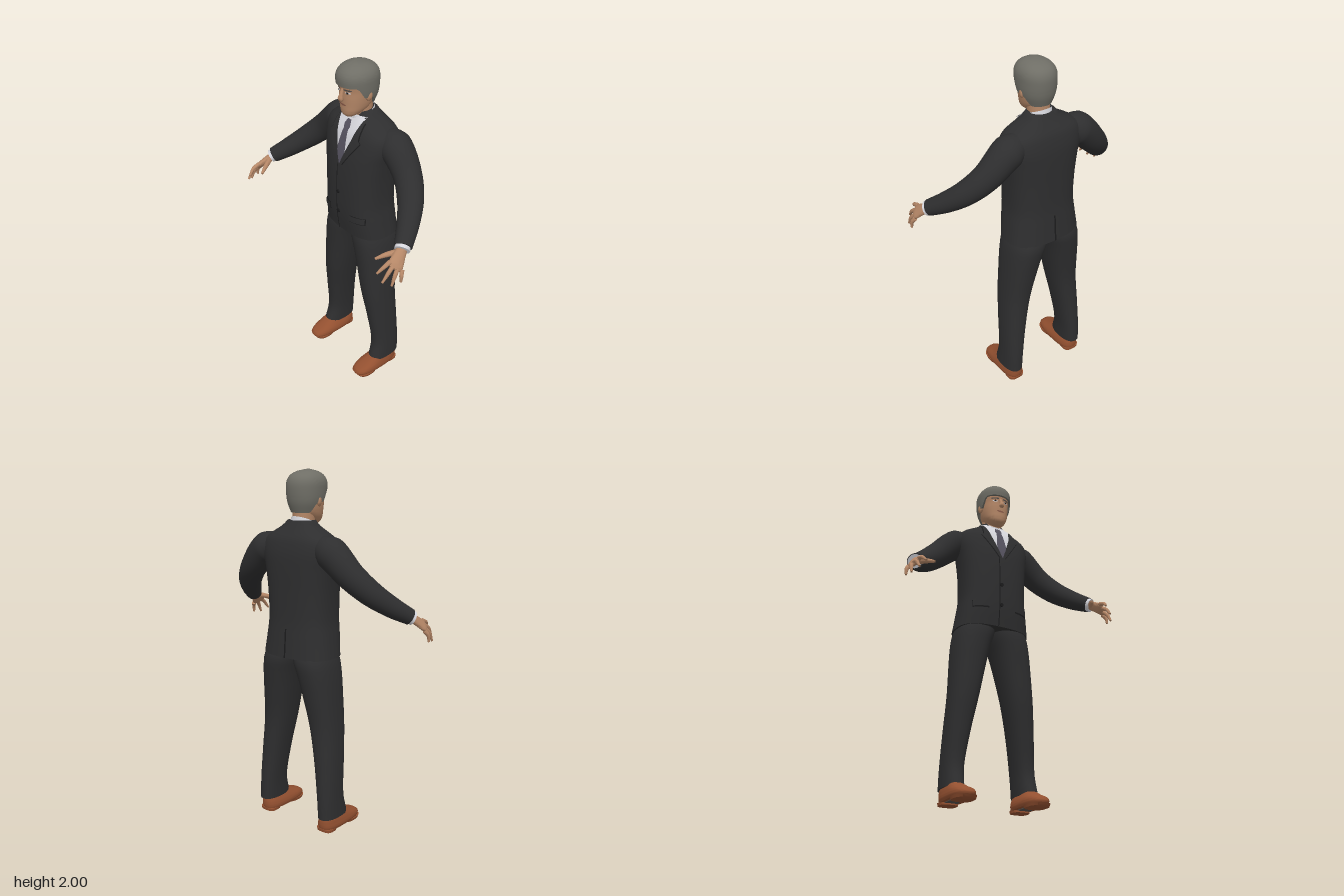
import * as THREE from 'three';
import { toCreasedNormals } from 'three/addons/utils/BufferGeometryUtils.js';

const V = (x, y, z) => new THREE.Vector3(x, y, z);
const { lerp, smoothstep } = THREE.MathUtils;

const mat = (name, color) => Object.assign(new THREE.MeshStandardMaterial({ color }), { name });

// Surface from a function of (i, j) on a grid; faces look along v x u
function grid(fn, nu, nv) {
  const pos = [], idx = [];
  for (let j = 0; j <= nv; j++) for (let i = 0; i <= nu; i++) pos.push(...fn(i, j).toArray());
  for (let j = 0; j < nv; j++) for (let i = 0; i < nu; i++) {
    const a = j * (nu + 1) + i, c = a + nu + 1;
    idx.push(a, c, a + 1, a + 1, c, c + 1);
  }
  const g = new THREE.BufferGeometry();
  g.setAttribute('position', new THREE.Float32BufferAttribute(pos, 3));
  g.setIndex(idx);
  return g;
}

// Tube of rings closed by a centre point at each end
const closed = (point, centre, nu, nv) => grid((i, j) => {
  const v = THREE.MathUtils.clamp((j - 1) / nv, 0, 1);
  return j === 0 || j === nv + 2 ? centre(v) : point((i % nu) / nu * Math.PI * 2, v);
}, nu, nv + 2);

// Smooth interpolation of rows [y, x0, x1, z0, z1]
function sample(rows, y) {
  let k = 0;
  while (k < rows.length - 2 && y > rows[k + 1][0]) k++;
  const a = rows[k], b = rows[k + 1], h = b[0] - a[0], t = THREE.MathUtils.clamp((y - a[0]) / h, 0, 1);
  const slope = (i, c) => {
    const p = rows[Math.max(i - 1, 0)], n = rows[Math.min(i + 1, rows.length - 1)];
    return (n[c] - p[c]) / (n[0] - p[0]);
  };
  const t2 = t * t, t3 = t2 * t;
  const [x0, x1, z0, z1] = [1, 2, 3, 4].map(c => a[c] * (2 * t3 - 3 * t2 + 1) + b[c] * (3 * t2 - 2 * t3)
    + h * (slope(k, c) * (t3 - 2 * t2 + t) + slope(k + 1, c) * (t3 - t2)));
  return { cx: (x0 + x1) / 2, w: (x1 - x0) / 2, cz: (z0 + z1) / 2, d: (z1 - z0) / 2 };
}

const pw = (n, e) => Math.sign(n) * Math.abs(n) ** e;
const ringPoint = (rows, y, a, e, k = 1) => {
  const s = sample(rows, y);
  return V(s.cx + k * s.w * pw(Math.cos(a), e), y, s.cz + k * s.d * pw(Math.sin(a), e));
};

// Body built from horizontal cross-sections
function loft(rows, e = 0.85, nu = 40, nv = 30) {
  const yAt = v => lerp(rows[0][0], rows[rows.length - 1][0], v);
  return closed((a, v) => ringPoint(rows, yAt(v), a, e),
    v => { const s = sample(rows, yAt(v)); return V(s.cx, yAt(v), s.cz); }, nu, nv);
}

// Thin panel lying on the front (dir 1) or back (dir -1) of a loft
function panel(rows, e, lo, hi, y0, y1, off, dir = 1, nx = 8, ny = 12) {
  return grid((i, j) => {
    const y = lerp(y0, y1, j / ny), s = sample(rows, y);
    const l = lo(y), r = hi(y), x = dir > 0 ? lerp(r, l, i / nx) : lerp(l, r, i / nx);
    const q = Math.max(0, 1 - Math.min(1, Math.abs(x / s.w)) ** (2 / e)) ** (e / 2);
    return V(x, y, s.cz + dir * (s.d * q + off));
  }, nx, ny);
}

// Limb along a curve: points [x, y, z, radius along side, other radius]
function limb(pts, side, nu = 16, nv = 20) {
  const curve = new THREE.CatmullRomCurve3(pts.map(p => V(p[0], p[1], p[2])));
  return closed((a, v) => {
    const f = v * (pts.length - 1), k = Math.min(Math.floor(f), pts.length - 2), t = f - k;
    const r = c => lerp(pts[k][c], pts[k + 1][c], t);
    const d = curve.getTangent(v), s = side.clone().addScaledVector(d, -side.dot(d)).normalize();
    const n = s.clone().cross(d);
    return curve.getPoint(v).addScaledVector(s, Math.cos(a) * r(3)).addScaledVector(n, Math.sin(a) * r(4));
  }, v => curve.getPoint(v), nu, nv);
}

export function createModel() {
  const root = new THREE.Group();
  root.name = 'man in suit';
  const suit = mat('suit', 0x2e2e2f), dark = mat('dark trim', 0x1b1b1c), white = mat('shirt', 0xd6d6dc);
  const purple = mat('tie', 0x55525f), skin = mat('skin', 0xb58767), grey = mat('hair', 0x6f6e66);
  const brown = mat('shoe leather', 0x935030), sole = mat('sole', 0x55504c), lip = mat('lips', 0x8c5c4a);

  const add = (name, geo, material) => {
    const m = new THREE.Mesh(toCreasedNormals(geo, 1.0), material);
    m.name = name;
    root.add(m);
  };
  const pair = (name, geo, material) => {
    add(name + 'Left', geo, material);
    const g = geo.clone().scale(-1, 1, 1);
    g.index.array.reverse();
    add(name + 'Right', g, material);
  };
  const sym = r => [r[0], -r[1], r[1], r[2], r[3]];

  // Jacket body
  const T = [[1.0, 0.222, -0.27, 0.03], [1.1, 0.208, -0.262, 0.043], [1.2, 0.196, -0.255, 0.048],
    [1.35, 0.2, -0.255, 0.046], [1.48, 0.215, -0.257, 0.035], [1.56, 0.23, -0.255, 0.018],
    [1.62, 0.225, -0.245, 0.0], [1.65, 0.2, -0.235, -0.015], [1.68, 0.15, -0.215, -0.033],
    [1.71, 0.1, -0.195, -0.05], [1.735, 0.078, -0.18, -0.06]].map(sym);
  const te = 0.75;
  add('jacket', loft(T, te, 56, 44), suit);

  // Shirt front, tie, lapels and collar points
  const vee = y => y < 1.6 ? lerp(0, 0.06, (y - 1.44) / 0.16) : lerp(0.06, 0.086, (y - 1.6) / 0.115);
  add('shirtFront', panel(T, te, y => -vee(y), vee, 1.44, 1.715, 0.004, 1, 12, 16), white);
  const tieW = y => y > 1.645 ? 0.024 : Math.min(lerp(0.034, 0.017, (y - 1.5) / 0.145), vee(y));
  add('tie', panel(T, te, y => -tieW(y), tieW, 1.442, 1.685, 0.009, 1, 6, 16), purple);
  const lapelOut = y => vee(y) + (y < 1.6 ? lerp(0.004, 0.06, (y - 1.4) / 0.2) : lerp(0.045, 0.012, (y - 1.6) / 0.1));
  pair('lapelEdge', panel(T, te, y => vee(y) + 0.01, y => lapelOut(y) + 0.005, 1.44, 1.69, 0.005, 1, 6, 24), dark);
  pair('lapel', panel(T, te, vee, lapelOut, 1.43, 1.7, 0.009, 1, 6, 24), suit);
  pair('collarPoint', panel(T, te, y => lerp(0.045, 0.012, (y - 1.6) / 0.09),
    y => lerp(0.047, 0.08, (y - 1.6) / 0.09), 1.6, 1.69, 0.012), white);

  // Jacket opening, buttons, pocket flaps and back vent
  add('jacketOpening', panel(T, te, y => -0.022, y => -0.016, 1.0, 1.44, 0.003, 1, 2), dark);
  for (const y of [1.26, 1.13]) {
    const s = sample(T, y);
    add('button', new THREE.CylinderGeometry(0.011, 0.011, 0.008, 14).rotateX(Math.PI / 2)
      .translate(-0.008, y, s.cz + s.d + 0.003), dark);
  }
  pair('pocketShadow', panel(T, te, y => 0.082, y => 0.172, 1.1, 1.145, 0.003), dark);
  pair('pocketFlap', panel(T, te, y => 0.08, y => 0.17, 1.107, 1.145, 0.008), suit);
  add('backVent', panel(T, te, y => -0.005, y => 0.005, 1.0, 1.16, 0.003, -1, 2), dark);

  // Sleeves with shirt cuffs
  const side = V(0.05, -0.045, -0.05).normalize();
  pair('sleeve', limb([[0.13, 1.6, -0.14, 0.06, 0.06], [0.22, 1.575, -0.148, 0.092, 0.09],
    [0.34, 1.465, -0.132, 0.076, 0.076], [0.43, 1.375, -0.075, 0.069, 0.067],
    [0.505, 1.3, 0.01, 0.058, 0.056], [0.564, 1.245, 0.092, 0.047, 0.044]], V(0.3, 0.2, -1), 28, 36), suit);
  pair('cuff', limb([[0.555, 1.254, 0.08, 0.04, 0.036], [0.573, 1.237, 0.106, 0.042, 0.037]], side, 20, 2), white);

  // Hands
  pair('palm', limb([[0.565, 1.243, 0.095, 0.027, 0.021], [0.58, 1.22, 0.13, 0.034, 0.02],
    [0.599, 1.188, 0.173, 0.044, 0.017], [0.604, 1.18, 0.188, 0.032, 0.01]], side, 20, 12), skin);
  const tips = [[0.567, 1.165, 0.266], [0.6, 1.122, 0.258], [0.629, 1.1, 0.22], [0.64, 1.105, 0.168]];
  tips.forEach((t, i) => {
    const k = V(0.58, 1.21, 0.192).lerp(V(0.624, 1.165, 0.15), i / 3);
    const m = k.clone().lerp(V(...t), 0.5).add(V(0.005, 0.006, 0.005));
    pair('finger', limb([[...k.toArray(), 0.013, 0.013], [...m.toArray(), 0.011, 0.011], [...t, 0.006, 0.006]], side, 10, 8), skin);
  });
  pair('thumb', limb([[0.565, 1.23, 0.12, 0.017, 0.017], [0.53, 1.215, 0.175, 0.014, 0.014],
    [0.502, 1.195, 0.222, 0.007, 0.007]], side, 10, 8), skin);

  // Trousers
  pair('trouserLeg', loft([[0.08, 0.165, 0.275, -0.226, -0.015], [0.2, 0.158, 0.27, -0.225, -0.043],
    [0.4, 0.128, 0.262, -0.217, -0.025], [0.6, 0.088, 0.25, -0.215, 0], [0.8, 0.045, 0.238, -0.24, 0.01],
    [0.9, 0.02, 0.23, -0.255, 0.015], [0.98, -0.006, 0.218, -0.262, 0.015], [1.05, -0.02, 0.195, -0.24, 0]], 0.85, 36, 36), suit);

  // Shoes
  pair('shoe', loft([[0.012, 0.155, 0.272, -0.208, 0.095], [0.03, 0.15, 0.278, -0.212, 0.1],
    [0.05, 0.153, 0.276, -0.212, 0.08], [0.07, 0.162, 0.272, -0.21, 0.03], [0.1, 0.18, 0.262, -0.2, -0.03]], 0.72, 36, 14), brown);
  pair('heel', loft([[0, 0.165, 0.265, -0.21, -0.12], [0.016, 0.163, 0.267, -0.212, -0.12]], 0.65, 28, 2), brown);
  pair('foreSole', loft([[0, 0.156, 0.272, -0.045, 0.088], [0.016, 0.152, 0.276, -0.055, 0.099]], 0.75, 28, 2), brown);
  pair('archSole', new THREE.BoxGeometry(0.07, 0.006, 0.09).translate(0.215, 0.011, -0.085), sole);

  // Neck and shirt collar, lower at the front
  add('neck', loft([[1.64, 0.058, -0.165, -0.048], [1.72, 0.058, -0.162, -0.042], [1.81, 0.062, -0.16, -0.03]].map(sym), 0.95, 28, 8), skin);
  const collar = grid((i, j) => {
    const p = ringPoint([[1.68, 0.082, -0.184, -0.035], [1.757, 0.066, -0.17, -0.036]].map(sym),
      lerp(1.68, 1.757, j / 5), (i % 32) / 32 * Math.PI * 2, 0.95);
    p.y -= (p.z + 0.17) * 0.4;
    return p;
  }, 32, 5);
  add('shirtCollar', collar, white);
  white.side = THREE.DoubleSide;

  // Head
  const H = [[1.712, 0.022, -0.045, 0.0], [1.725, 0.043, -0.08, 0.013], [1.75, 0.062, -0.12, 0.019],
    [1.78, 0.073, -0.155, 0.02], [1.82, 0.08, -0.17, 0.022], [1.86, 0.084, -0.178, 0.022],
    [1.9, 0.087, -0.18, 0.028], [1.94, 0.083, -0.175, 0.02], [1.97, 0.062, -0.15, -0.005],
    [1.985, 0.03, -0.1, -0.04]].map(sym);
  const he = 0.88;
  add('head', loft(H, he, 40, 36), skin);
  add('nose', limb([[0, 1.875, 0.02, 0.008, 0.008], [0, 1.845, 0.031, 0.01, 0.01], [0, 1.822, 0.036, 0.017, 0.014],
    [0, 1.812, 0.028, 0.012, 0.008]], V(1, 0, 0), 12, 10), skin);
  pair('ear', new THREE.SphereGeometry(1, 14, 10).scale(0.012, 0.031, 0.02).rotateY(-0.3).translate(0.087, 1.838, -0.078), skin);

  // Face details
  const spot = (rows, x, y, w, h, off) => {
    const half = yy => w * Math.sqrt(Math.max(0, 1 - ((yy - y) / h) ** 2));
    return panel(rows, he, yy => x - half(yy), yy => x + half(yy), y - h, y + h, off, 1, 6, 8);
  };
  pair('eye', spot(H, 0.035, 1.859, 0.015, 0.006, 0.002), white);
  pair('iris', spot(H, 0.034, 1.859, 0.006, 0.006, 0.004), dark);
  pair('eyebrow', panel(H, he, y => 0.014, y => 0.056, 1.871, 1.879, 0.004, 1, 6, 2), sole);
  add('mouth', spot(H, 0, 1.787, 0.024, 0.006, 0.003), lip);

  // Hair cap with a hairline that drops from the fringe to the nape
  const R = [[1.77, 0.074, -0.168, 0.02], [1.83, 0.094, -0.188, 0.03], [1.9, 0.1, -0.195, 0.041],
    [1.94, 0.097, -0.19, 0.039], [1.97, 0.08, -0.17, 0.02], [1.99, 0.05, -0.13, -0.015],
    [2.0, 0.008, -0.08, -0.055]].map(sym);
  add('hair', closed((a, v) => {
    const s = Math.sin(a);
    const line = 1.775 + 0.055 * smoothstep(s, -0.6, -0.1) + 0.062 * smoothstep(s, 0.2, 0.6);
    return ringPoint(R, lerp(line, 2.0, Math.max(0, v * 25 - 1) / 24), a, 0.92, v === 0 ? 0.82 : 1);
  }, v => V(0, v ? 2.0 : 1.9, -0.07), 48, 25), grey);

  return root;
}
